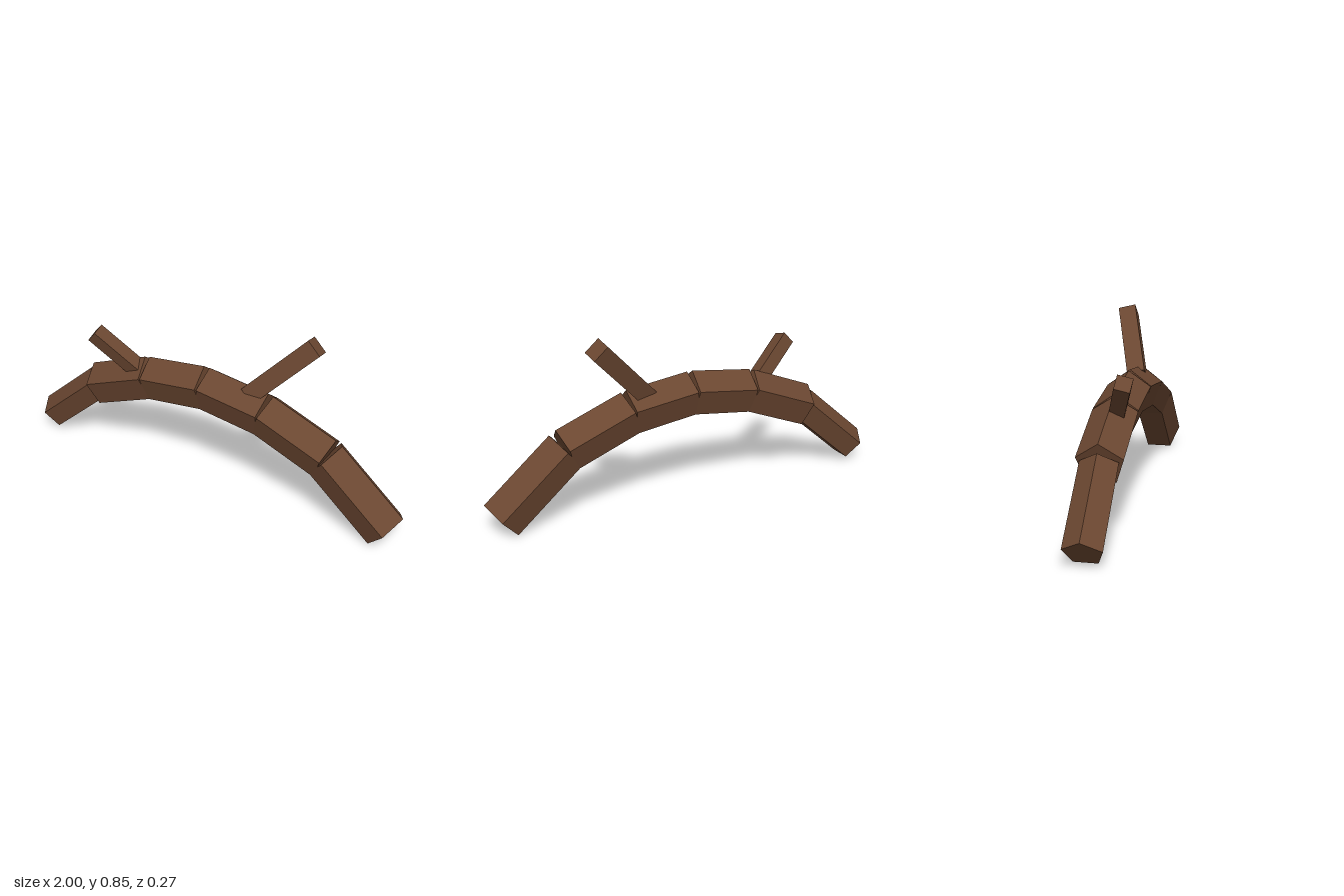
import * as THREE from 'three';

const bark = new THREE.MeshStandardMaterial({ color: 0x6b4731, flatShading: true });
bark.name = 'barkBrown';

// Places a y-aligned geometry between two points, its local z turned towards "up"
function beam(name, geometry, from, to, up) {
  const y = to.clone().sub(from).normalize();
  const x = y.clone().cross(up).normalize();
  const z = x.clone().cross(y);
  const mesh = new THREE.Mesh(geometry, bark);
  mesh.name = name;
  mesh.quaternion.setFromRotationMatrix(new THREE.Matrix4().makeBasis(x, y, z));
  mesh.position.copy(from).lerp(to, 0.5);
  return mesh;
}

export function createModel() {
  const group = new THREE.Group();
  group.name = 'archedLog';

  // Arched trunk: five-sided logs with a ridge on the outside of the bend
  const joints = [
    [-0.943, 0.07], [-0.636, 0.335], [-0.318, 0.46], [-0.01, 0.5],
    [0.3, 0.459], [0.617, 0.336], [0.929, 0.067],
  ].map(([x, y]) => new THREE.Vector3(x, y, 0.011));
  for (let i = 0; i < 6; i++) {
    const radius = i === 0 ? 0.087 : 0.107; // the first log is thinner
    const a = joints[i], b = joints[i + 1];
    const geometry = new THREE.CylinderGeometry(radius, radius, a.distanceTo(b), 5);
    group.add(beam('trunkSegment' + (i + 1), geometry, a, b, new THREE.Vector3(0, 1, 0)));
  }

  // Square branches: tip, direction, length, thickness, side direction
  const branches = [
    ['longBranch', [0.49, 0.808, -0.089], [0.679, 0.693, -0.24], 0.4, 0.085, [0.061, -0.058, 0.006]],
    ['shortBranch', [-0.583, 0.666, 0.0985], [-0.733, 0.634, 0.247], 0.3, 0.069, [-0.045, -0.049, -0.007]],
  ];
  for (const [name, tip, dir, length, width, side] of branches) {
    const to = new THREE.Vector3(...tip);
    const from = to.clone().addScaledVector(new THREE.Vector3(...dir).normalize(), -length);
    group.add(beam(name, new THREE.BoxGeometry(width, length, width), from, to, new THREE.Vector3(...side)));
  }
  return group;
}
